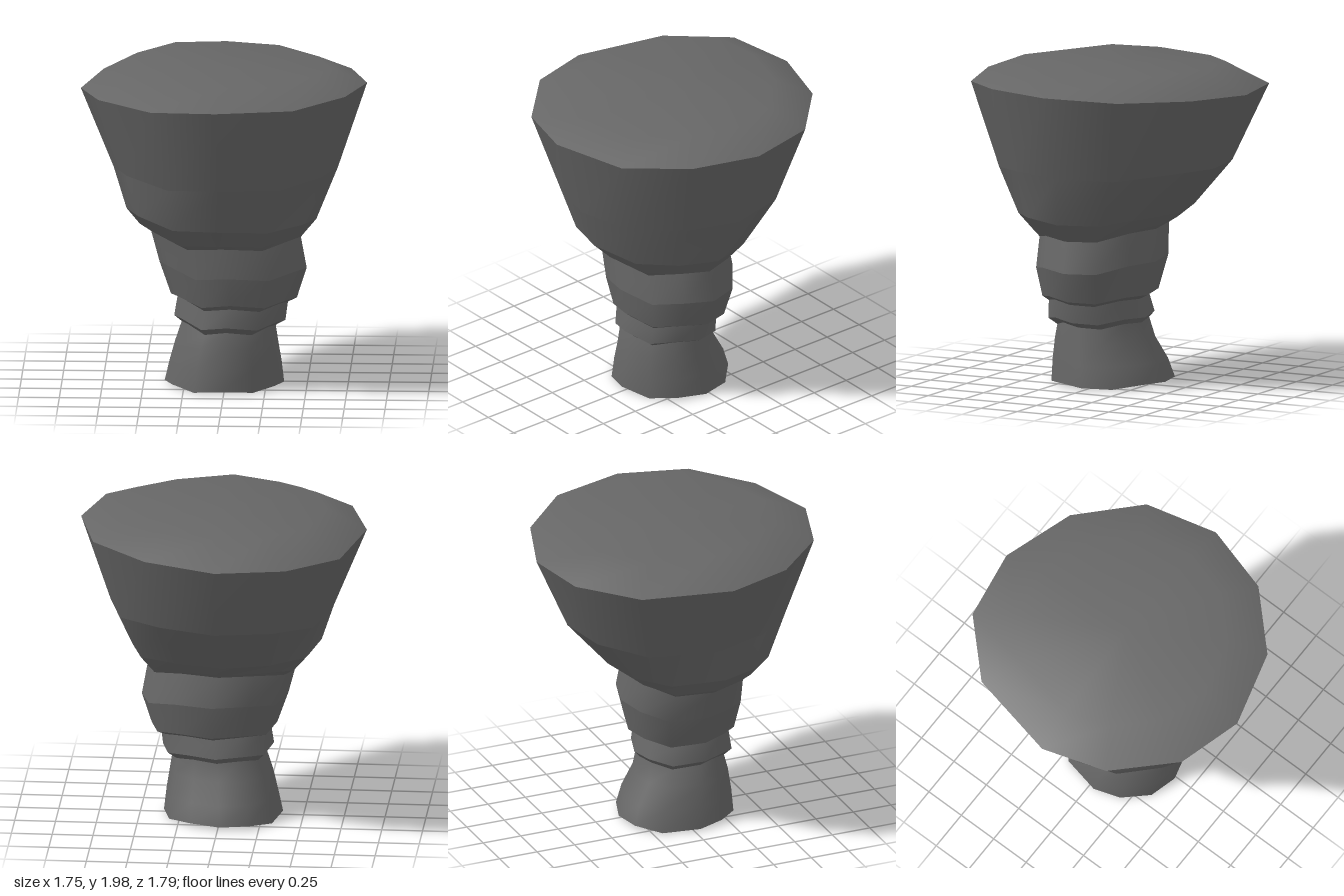
import * as THREE from 'three';

// Irregular twelve-sided outline (x, z), running from +x through +z
const OUTLINE = [
  [0.87, 0.03], [0.75, 0.45], [0.44, 0.76], [-0.03, 0.89], [-0.43, 0.77], [-0.76, 0.44],
  [-0.88, 0.04], [-0.76, -0.52], [-0.45, -0.83], [-0.02, -0.9], [0.42, -0.75], [0.76, -0.42],
];
const N = OUTLINE.length;
// Height waviness shared by the ledges
const WAVE = [0, 0.015, -0.02, 0, -0.025, 0.015, 0, -0.015, 0.01, 0, 0.01, -0.01];

// One ring: x and z extents, heights at +x, +z, -x, -z, and strength of the waviness
function ring(x0, x1, z0, z1, yRight, yFront, yLeft, yBack, wave = 1) {
  return OUTLINE.map(([px, pz], i) => {
    const t = (i / N) * Math.PI * 2;
    const c = Math.cos(t), s = Math.sin(t);
    const y = c * c * (c > 0 ? yRight : yLeft) + s * s * (s > 0 ? yFront : yBack);
    return [
      (x0 + x1) / 2 + (px / 0.875) * (x1 - x0) / 2,
      y + WAVE[i] * wave,
      (z0 + z1) / 2 + (pz / 0.895) * (z1 - z0) / 2,
    ];
  });
}

// Skin of consecutive rings, smooth inside; separate bands meet at hard edges
function band(name, rings, material, capCentre, capUp = true) {
  const pos = rings.flat();
  const index = [];
  for (let r = 0; r < rings.length - 1; r++) {
    for (let i = 0; i < N; i++) {
      const a = r * N + i, b = r * N + (i + 1) % N;
      index.push(a, a + N, b, b, a + N, b + N);
    }
  }
  if (capCentre) {
    const centre = pos.push(capCentre) - 1, base = (rings.length - 1) * N;
    for (let i = 0; i < N; i++) {
      const a = base + i, b = base + (i + 1) % N;
      index.push(centre, capUp ? b : a, capUp ? a : b);
    }
  }
  const g = new THREE.BufferGeometry();
  g.setAttribute('position', new THREE.Float32BufferAttribute(pos.flat(), 3));
  g.setIndex(index);
  g.computeVertexNormals();
  const mesh = new THREE.Mesh(g, material);
  mesh.name = name;
  return mesh;
}

export function createModel() {
  const group = new THREE.Group();
  group.name = 'rockPillar';
  const stone = new THREE.MeshStandardMaterial({ color: 0x666666, side: THREE.DoubleSide });

  // Rings from the ground up
  const foot = ring(-0.37, 0.36, -0.35, 0.39, 0.015, 0.025, 0.02, 0.03, 0.6);
  const heel = ring(-0.34, 0.345, -0.31, 0.38, 0.15, 0.15, 0.15, 0.15, 0);
  const ankle = ring(-0.305, 0.325, -0.23, 0.36, 0.28, 0.28, 0.28, 0.28, 0);
  const neck = ring(-0.265, 0.31, -0.2, 0.34, 0.38, 0.385, 0.4, 0.39);
  const collarLow = ring(-0.31, 0.37, -0.23, 0.39, 0.415, 0.425, 0.44, 0.425);
  const collarTop = ring(-0.29, 0.385, -0.2, 0.375, 0.53, 0.54, 0.56, 0.54);
  const bulgeLow = ring(-0.33, 0.44, -0.26, 0.41, 0.555, 0.57, 0.575, 0.57);
  const bulgeMid = ring(-0.4, 0.5, -0.31, 0.445, 0.74, 0.745, 0.775, 0.78);
  const bulgeTop = ring(-0.45, 0.465, -0.29, 0.44, 0.935, 0.93, 0.965, 0.975);
  const lip = ring(-0.52, 0.49, -0.33, 0.475, 0.965, 0.955, 1.01, 1.0);
  const shoulder = ring(-0.6, 0.56, -0.43, 0.59, 1.05, 1.07, 1.11, 1.08, 0.7);
  const crownLow = ring(-0.68, 0.69, -0.69, 0.71, 1.36, 1.355, 1.355, 1.38, 0.8);
  const rim = ring(-0.88, 0.87, -0.9, 0.89, 1.89, 1.88, 1.845, 1.85, 0.5);
  const plateau = ring(-0.64, 0.64, -0.64, 0.63, 1.98, 1.98, 1.98, 1.99, 0.5);

  group.add(
    band('footUnderside', [foot], stone, [0, 0.02, 0.02], false),
    band('foot', [foot, heel, ankle, neck], stone),
    band('collarUnderside', [neck, collarLow], stone),
    band('collar', [collarLow, collarTop], stone),
    band('bulgeUnderside', [collarTop, bulgeLow], stone),
    band('lowerBulge', [bulgeLow, bulgeMid], stone),
    band('upperBulge', [bulgeMid, bulgeTop], stone),
    band('lipUnderside', [bulgeTop, lip], stone),
    band('lip', [lip, shoulder], stone),
    band('shoulder', [shoulder, crownLow], stone),
    band('crown', [crownLow, rim], stone),
    band('topSurface', [rim, plateau], stone, [0, 1.975, 0]),
  );
  return group;
}
